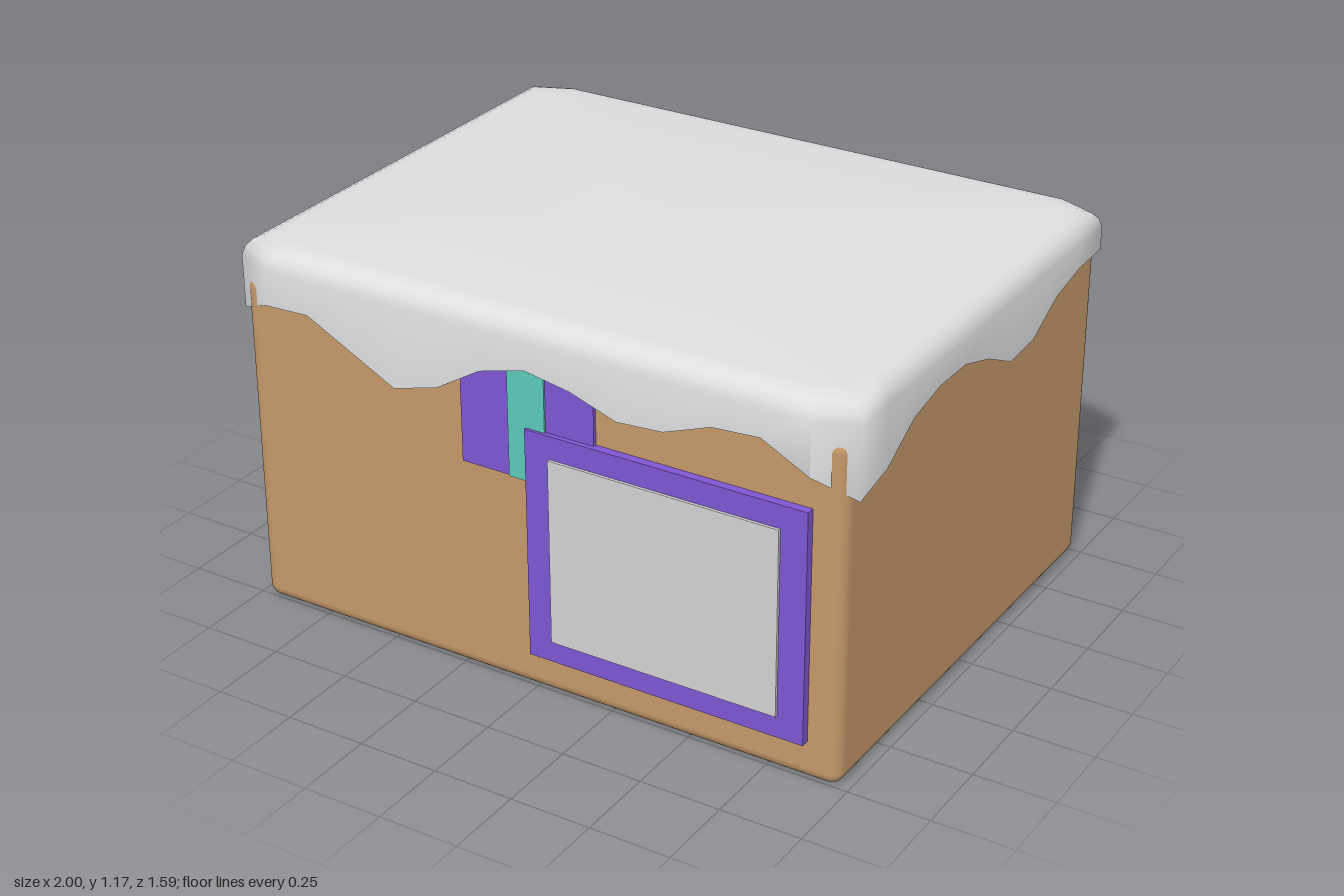
import * as THREE from 'three';
import { RoundedBoxGeometry } from 'three/addons/geometries/RoundedBoxGeometry.js';
import { toCreasedNormals } from 'three/addons/utils/BufferGeometryUtils.js';

const mat = (name, color, side = THREE.FrontSide) => {
  const m = new THREE.MeshStandardMaterial({ color, side });
  m.name = name;
  return m;
};

// Lower snow edge heights, running to the right as seen from outside each side
const FRONT = [0.94, 0.995, 1.0, 0.925, 0.85, 0.89, 0.98, 1.02, 0.995, 0.945, 0.955, 1.01, 1.02, 0.945];
const RIGHT = [0.885, 0.915, 1.0, 1.03, 1.03, 0.985, 0.915, 0.925, 1.0, 1.03];
const BACK = [1.035, 0.97, 0.95, 0.98, 1.0, 0.95, 0.88, 0.855, 0.96, 1.0, 0.97, 0.935, 0.965, 1.01];
const LEFT = [1.03, 1.02, 0.97, 0.9, 0.88, 0.9, 0.96, 0.94, 0.95, 0.98];

function snowGeometry() {
  // Outline: a rectangle with cut corners
  const outline = [];
  const longSide = (heights, s) => heights.forEach((y, i) => {
    if (i === 0) outline.push([-s, y, 0.73 * s]);
    else outline.push([s * (-0.88 + (1.76 * (i - 1)) / 12), y, 0.782 * s]);
  });
  const shortSide = (heights, s) => heights.forEach((y, i) => {
    outline.push([s, y, s * (0.73 - 0.146 * i)]);
  });
  longSide(FRONT, 1);
  shortSide(RIGHT, 1);
  longSide(BACK, -1);
  shortSide(LEFT, -1);

  // Rings from the underside lip up over the rounded rim: [inset, height]
  const rings = [[0.025, null], [0, null], [0, 1.105], [0.008, 1.132], [0.025, 1.152], [0.05, 1.163], [0.085, 1.167]];
  const n = outline.length;
  const pos = [], idx = [];
  for (const [inset, h] of rings) {
    for (const [x, y, z] of outline) pos.push(x * (1 - inset), h ?? y, z * (1 - inset / 0.782));
  }
  for (let j = 0; j < rings.length - 1; j++) {
    for (let i = 0; i < n; i++) {
      const k = (i + 1) % n;
      const a = j * n + i, b = j * n + k;
      idx.push(a, b, b + n, a, b + n, a + n);
    }
  }
  // Gently raised top
  const centre = pos.length / 3, last = (rings.length - 1) * n;
  pos.push(-0.1, 1.175, 0);
  for (let i = 0; i < n; i++) idx.push(last + i, last + ((i + 1) % n), centre);

  const g = new THREE.BufferGeometry();
  g.setAttribute('position', new THREE.Float32BufferAttribute(pos, 3));
  g.setIndex(idx);
  return toCreasedNormals(g, 1.2);
}

export function createModel() {
  const model = new THREE.Group();
  model.name = 'snowyBox';
  const cardboard = mat('cardboard', 0xc4986a);
  const snow = mat('snow', 0xdcdee0, THREE.DoubleSide);
  const purple = mat('purple', 0x7f56d2);
  const teal = mat('teal', 0x5bcabb);
  const paper = mat('paper', 0xd2d3d4);

  const add = (parent, name, geometry, material) => {
    const mesh = new THREE.Mesh(geometry, material);
    mesh.name = name;
    parent.add(mesh);
    return mesh;
  };

  // Cardboard body
  add(model, 'boxBody', new RoundedBoxGeometry(1.95, 1.055, 1.52, 4, 0.04), cardboard).position.y = 0.5325;

  // Snow cap with a wavy hanging edge
  add(model, 'snowCap', snowGeometry(), snow);

  // Plate from x0..x1, y0..y1, z0..z1
  const plate = (parent, name, x0, x1, y0, y1, z0, z1, material) => {
    add(parent, name, new THREE.BoxGeometry(x1 - x0, y1 - y0, z1 - z0), material)
      .position.set((x0 + x1) / 2, (y0 + y1) / 2, (z0 + z1) / 2);
  };

  // Tape end and label, the same on front and back
  for (const side of ['front', 'back']) {
    const panel = new THREE.Group();
    panel.name = side + 'Panel';
    plate(panel, side + 'Tape', -0.22, 0.215, 0.68, 1.05, 0.755, 0.771, purple);
    plate(panel, side + 'TapeStripe', -0.06, 0.06, 0.68, 1.05, 0.769, 0.777, teal);
    plate(panel, side + 'LabelFrame', 0, 0.88, 0.13, 0.845, 0.755, 0.786, purple);
    plate(panel, side + 'LabelPaper', 0.08, 0.8, 0.2, 0.775, 0.787, 0.796, paper);
    if (side === 'back') panel.rotation.y = Math.PI;
    model.add(panel);
  }
  return model;
}
